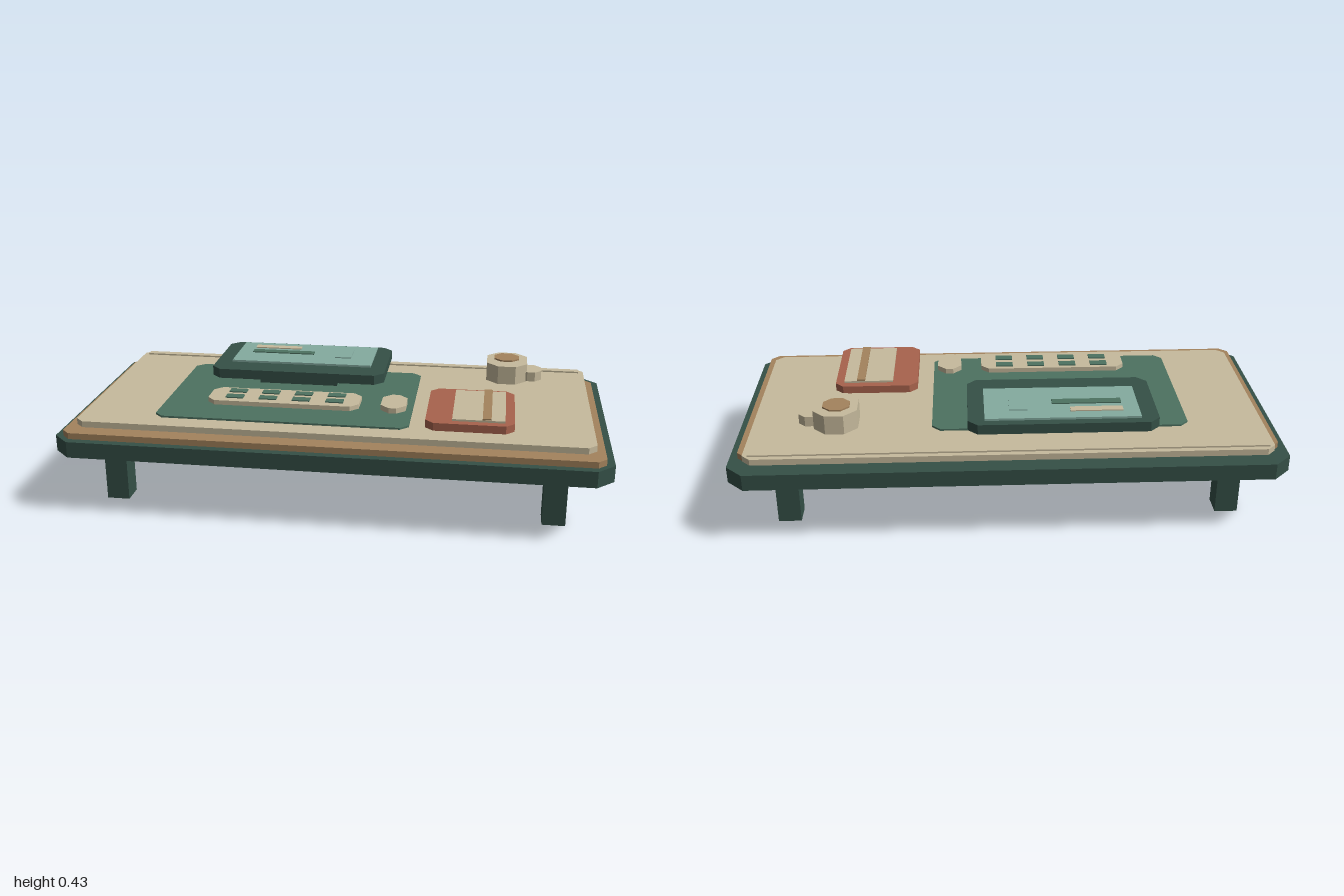
import * as THREE from 'three';

const mat = (name, color) => Object.assign(new THREE.MeshStandardMaterial({ color }), { name });

export function createModel() {
  const dark = mat('darkGreen', 0x355047);
  const wood = mat('wood', 0xa4835d);
  const cream = mat('cream', 0xc7bb9d);
  const green = mat('green', 0x4d7261);
  const teal = mat('teal', 0x84aba0);
  const red = mat('brickRed', 0xa8634d);
  const group = new THREE.Group();
  group.name = 'deskSet';

  // Flat slab with chamfered corners (c = 0 gives a plain box)
  function slab(name, material, [x0, x1], [y0, y1], [z0, z1], c = 0) {
    const w = (x1 - x0) / 2, d = (z1 - z0) / 2, h = y1 - y0;
    let geo;
    if (c > 0) {
      const corners = [
        [w - c, -d], [w, -d + c], [w, d - c], [w - c, d],
        [-w + c, d], [-w, d - c], [-w, -d + c], [-w + c, -d],
      ];
      const shape = new THREE.Shape(corners.map(([x, y]) => new THREE.Vector2(x, y)));
      geo = new THREE.ExtrudeGeometry(shape, { depth: h, bevelEnabled: false });
      geo.rotateX(-Math.PI / 2).translate(0, -h / 2, 0);
    } else {
      geo = new THREE.BoxGeometry(2 * w, h, 2 * d);
    }
    const mesh = new THREE.Mesh(geo, material);
    mesh.name = name;
    mesh.position.set((x0 + x1) / 2, (y0 + y1) / 2, (z0 + z1) / 2);
    group.add(mesh);
    return mesh;
  }

  // Table: stacked tops and four legs
  slab('tableBase', dark, [-1, 1], [0.22, 0.28], [-0.5, 0.5], 0.062);
  slab('woodLayer', wood, [-0.97, 0.97], [0.28, 0.303], [-0.405, 0.47], 0.03);
  slab('tableTop', cream, [-0.94, 0.94], [0.303, 0.326], [-0.47, 0.405], 0.03);
  slab('backStrip', cream, [-0.92, 0.92], [0.326, 0.332], [-0.45, -0.42]);
  for (const x of [-0.812, 0.812])
    for (const z of [-0.312, 0.312])
      slab('leg', dark, [x - 0.042, x + 0.042], [0, 0.2], [z - 0.043, z + 0.043]);

  // Desk mat
  slab('deskMat', green, [-0.66, 0.28], [0.33, 0.337], [-0.29, 0.335], 0.03);

  // Monitor on its stand
  slab('monitorStand', dark, [-0.35, -0.04], [0.338, 0.363], [-0.21, -0.085]);
  slab('monitorBody', dark, [-0.535, 0.15], [0.37, 0.407], [-0.4, -0.026], 0.035);
  slab('screen', teal, [-0.47, 0.09], [0.408, 0.416], [-0.37, -0.122]);
  slab('screenLine', cream, [-0.41, -0.22], [0.417, 0.421], [-0.325, -0.293]);
  slab('screenLine', green, [-0.41, -0.157], [0.417, 0.421], [-0.264, -0.23]);
  slab('screenPanel', teal, [-0.065, 0], [0.417, 0.421], [-0.31, -0.2]);

  // Keyboard, keys and mouse
  slab('keyboard', cream, [-0.475, 0.09], [0.368, 0.385], [0.124, 0.272], 0.03);
  for (let i = 0; i < 4; i++)
    for (const z of [0.16, 0.223]) {
      const x = -0.377 + i * 0.125;
      slab('key', green, [x - 0.033, x + 0.033], [0.385, 0.389], [z - 0.018, z + 0.018]);
    }
  slab('mouse', cream, [0.17, 0.262], [0.367, 0.387], [0.124, 0.272], 0.032);

  // Notebook with page and strap
  slab('notebookCover', red, [0.34, 0.655], [0.348, 0.377], [0, 0.372], 0.03);
  slab('notebookPage', cream, [0.435, 0.622], [0.378, 0.385], [0.03, 0.345]);
  slab('notebookStrap', wood, [0.542, 0.573], [0.386, 0.392], [0.03, 0.345]);

  // Mug with handle and drink
  slab('mug', cream, [0.545, 0.703], [0.353, 0.425], [-0.345, -0.157], 0.045);
  slab('mugHandle', cream, [0.68, 0.76], [0.358, 0.395], [-0.288, -0.192], 0.025);
  slab('drink', wood, [0.573, 0.67], [0.427, 0.433], [-0.31, -0.215], 0.028);

  return group;
}
